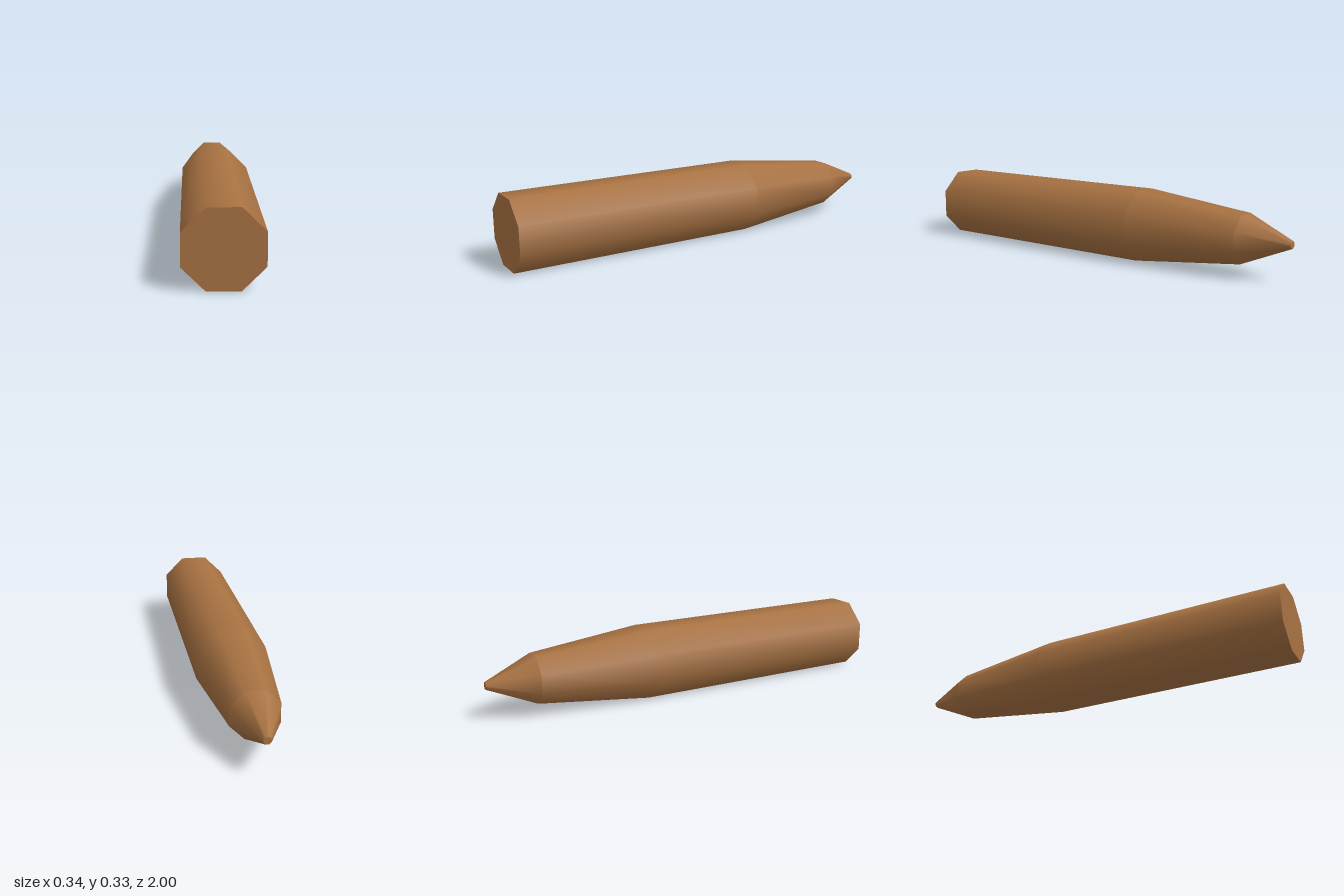
import * as THREE from 'three';

const SIDES = 8;
const PHASE = Math.PI / SIDES; // puts flat sides on top, bottom, left and right
const HALF = 0.1665; // centre to flat side of the shaft

export function createModel() {
  const wood = new THREE.MeshStandardMaterial({ color: 0xa87242 });
  wood.name = 'brown';

  const model = new THREE.Group();
  model.name = 'pointedStake';
  const stake = new THREE.Group();
  stake.name = 'stake';
  stake.position.set(-0.004, HALF, 0);
  stake.rotation.y = 0.0082; // slightly skewed axis
  model.add(stake);

  const corner = (flat) => flat / Math.cos(PHASE);
  const add = (name, geometry, z) => {
    const mesh = new THREE.Mesh(geometry, wood);
    mesh.name = name;
    mesh.position.z = z;
    stake.add(mesh);
    return mesh;
  };

  // Open eight-sided section running from z0 back to z1
  const section = (name, z0, r0, z1, r1) => {
    const g = new THREE.CylinderGeometry(corner(r1), corner(r0), z0 - z1, SIDES, 1, true, PHASE);
    g.rotateX(-Math.PI / 2);
    add(name, g, (z0 + z1) / 2);
  };
  section('shaft', 0.999, HALF, -0.23, HALF);
  section('taper', -0.23, HALF, -0.775, 0.109);
  section('point', -0.775, 0.109, -1, 0.016);

  // Flat ends
  const disc = (r) => new THREE.CircleGeometry(corner(r), SIDES, PHASE);
  add('frontEnd', disc(HALF), 0.999);
  add('bluntTip', disc(0.016), -1).rotation.y = Math.PI;

  return model;
}
